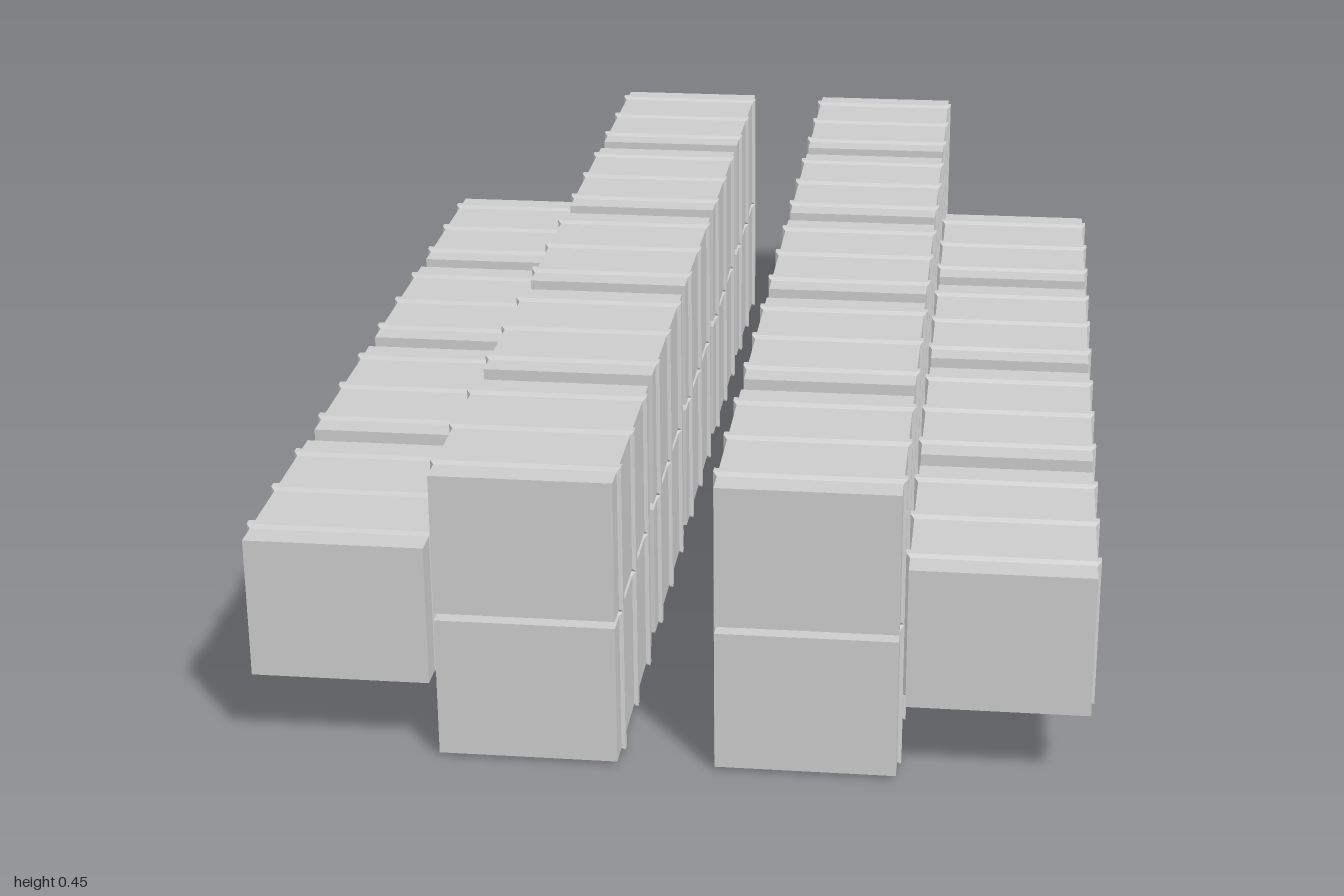
import * as THREE from 'three';

const W = 0.259, H = 0.212, L = 0.366; // crate body
const LIP = 0.0055;                    // how far the bands stand proud
const PITCH = 0.4085;                  // spacing of the rows

// Band round the crate: a thin slab whose end faces shrink to the body section
function bandGeometry() {
  const g = new THREE.BoxGeometry(W + 2 * LIP, H + 2 * LIP, 0.021, 1, 1, 3);
  const p = g.attributes.position;
  for (let i = 0; i < p.count; i++) {
    if (Math.abs(p.getZ(i)) > 0.009) {
      p.setX(i, Math.sign(p.getX(i)) * W / 2);
      p.setY(i, Math.sign(p.getY(i)) * H / 2);
    } else {
      p.setZ(i, Math.sign(p.getZ(i)) * 0.006);
    }
  }
  g.computeVertexNormals();
  return g;
}

export function createModel() {
  const model = new THREE.Group();
  model.name = 'crateStacks';
  const material = new THREE.MeshStandardMaterial({ color: 0xcccccc, flatShading: true });
  const bodyGeo = new THREE.BoxGeometry(W, H, L);
  const bandGeo = bandGeometry();

  // One crate with three bands
  function addCrate(name, x, y, z) {
    const crate = new THREE.Group();
    crate.name = name;
    const body = new THREE.Mesh(bodyGeo, material);
    body.name = 'crateBody';
    crate.add(body);
    for (const dz of [-0.132, 0, 0.132]) {
      const band = new THREE.Mesh(bandGeo, material);
      band.name = 'crateBand';
      band.position.z = dz;
      crate.add(band);
    }
    crate.position.set(x, y, z);
    model.add(crate);
  }

  // Five rows per side: two stacked inner crates, and an outer one except at the back
  for (const side of [-1, 1]) {
    for (let row = -2; row <= 2; row++) {
      const z = row * PITCH;
      addCrate('lowerCrate', side * 0.1995, 0.1115, z);
      addCrate('upperCrate', side * 0.1995, 0.3345, z);
      if (row > -2) addCrate('outerCrate', side * 0.4695, 0.223, z);
    }
  }
  return model;
}
